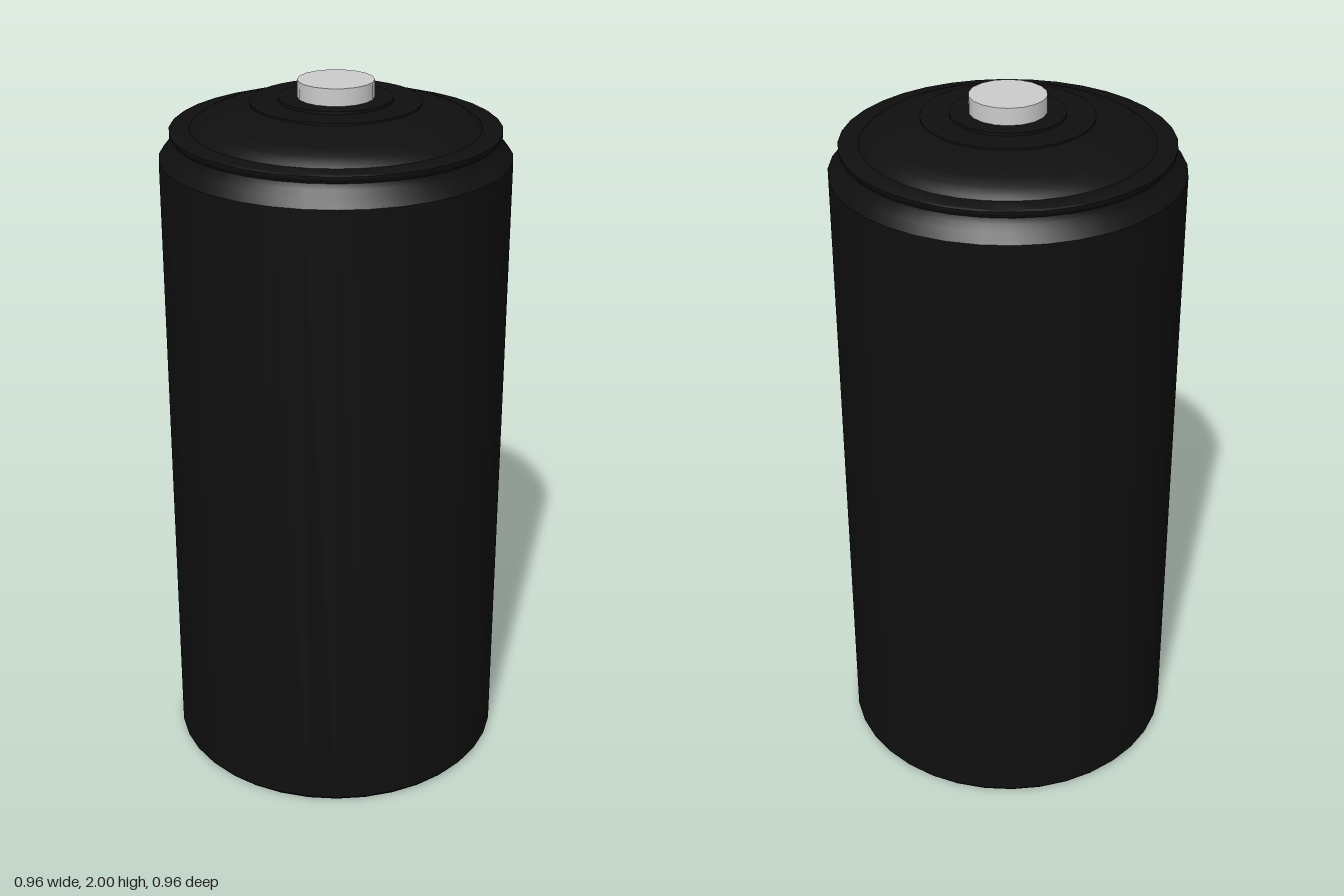
import * as THREE from 'three';
import { toCreasedNormals } from 'three/addons/utils/BufferGeometryUtils.js';

// Turn a [radius, height] profile (listed bottom to top) into a named mesh
function turned(name, profile, sides, material) {
  const points = profile.map(([r, y]) => new THREE.Vector2(r, y));
  const geometry = toCreasedNormals(new THREE.LatheGeometry(points, sides), 0.6);
  const mesh = new THREE.Mesh(geometry, material);
  mesh.name = name;
  return mesh;
}

export function createModel() {
  const black = new THREE.MeshStandardMaterial({ color: 0x0f0f0f });
  const grey = new THREE.MeshStandardMaterial({ color: 0xcccccc });
  const can = new THREE.Group();
  can.name = 'can';

  // Straight wall with a closed base and a necked-in shoulder
  can.add(turned('body', [
    [0, 0], [0.472, 0], [0.48, 0.01], [0.48, 1.795],
    [0.46, 1.82], [0.447, 1.835], [0.442, 1.85],
  ], 36, black));

  // Rolled rim around the shoulder and the domed lid inside it
  can.add(turned('rimAndDome', [
    [0.442, 1.85], [0.45, 1.862], [0.45, 1.87], [0.444, 1.874], [0.395, 1.874],
    [0.385, 1.883], [0.365, 1.896], [0.333, 1.908], [0.285, 1.92], [0.21, 1.93],
  ], 36, black));

  // Valve cup: a wide thin flange with a smaller collar on it
  can.add(turned('valveCup', [
    [0.21, 1.93], [0.232, 1.937], [0.232, 1.943], [0.155, 1.945],
    [0.155, 1.953], [0, 1.953],
  ], 36, black));

  // Press-down button
  const button = new THREE.Mesh(new THREE.CylinderGeometry(0.104, 0.104, 0.06, 18), grey);
  button.name = 'button';
  button.position.y = 1.97;
  can.add(button);

  return can;
}
